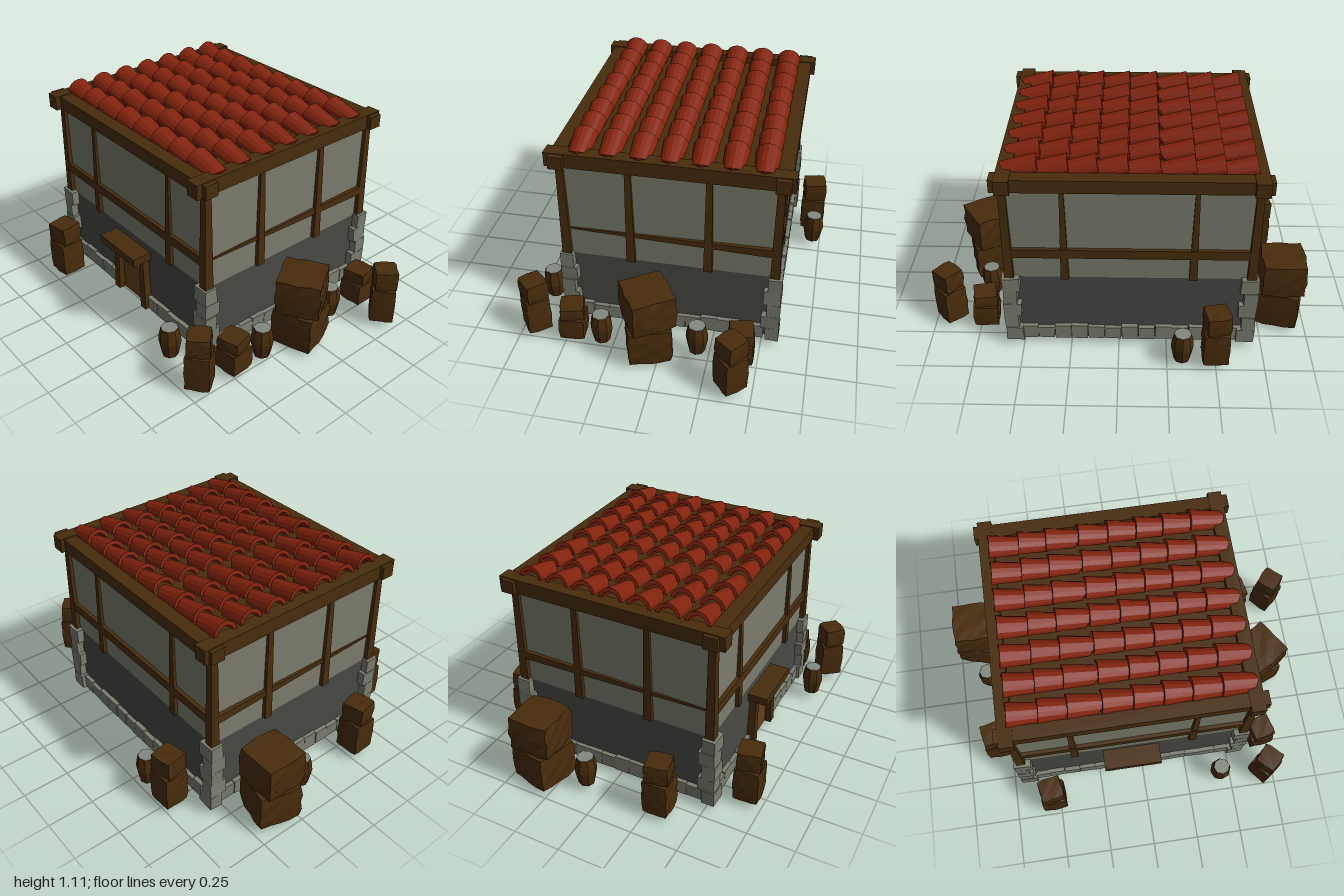
import * as THREE from 'three';

const mat = (name, color) => {
  const m = new THREE.MeshStandardMaterial({ color, flatShading: true });
  m.name = name;
  return m;
};

export function createModel() {
  const root = new THREE.Group();
  root.name = 'tavern';
  const M = {
    plaster: mat('plaster', 0x7b7d6d),
    stone: mat('stone', 0x7c7e70),
    wall: mat('dark stone wall', 0x494a45),
    wood: mat('beam wood', 0x482d0d),
    crate: mat('crate wood', 0x482c0c),
    door: mat('door wood', 0x65411b),
    tile: mat('roof tile', 0x82230d),
    lid: mat('barrel lid', 0x828a80),
  };

  let seed = 7;
  const rnd = (a, b) => {
    seed = (seed * 16807) % 2147483647;
    return a + (b - a) * (seed / 2147483647);
  };
  const group = (name) => {
    const g = new THREE.Group();
    g.name = name;
    root.add(g);
    return g;
  };
  const add = (parent, name, geo, material, x = 0, y = 0, z = 0) => {
    const m = new THREE.Mesh(geo, material);
    m.name = name;
    m.position.set(x, y, z);
    parent.add(m);
    return m;
  };
  // Box given by its limits on each axis
  const span = (parent, name, material, x0, x1, y0, y1, z0, z1) =>
    add(parent, name, new THREE.BoxGeometry(x1 - x0, y1 - y0, z1 - z0), material,
      (x0 + x1) / 2, (y0 + y1) / 2, (z0 + z1) / 2);
  // Square bar along y, thinner at the top
  const bar = (w, h, d, top) => {
    const g = new THREE.BoxGeometry(w, h, d);
    const p = g.attributes.position;
    for (let i = 0; i < p.count; i++)
      if (p.getY(i) > 0) p.setXYZ(i, p.getX(i) * top, p.getY(i), p.getZ(i) * top);
    g.computeVertexNormals();
    return g;
  };
  // Box with worn edges and corners shifted by a rule, so that shared corners stay joined
  const roughBox = (w, h, d, amount, seg = 1, round = 0) => {
    const g = new THREE.BoxGeometry(w, h, d, seg, seg, seg).toNonIndexed();
    const p = g.attributes.position;
    const k = rnd(1, 9);
    const n = (a, b, c, s) => Math.sin(a * 91 + b * 57 + c * 73 + k * s) * amount;
    for (let i = 0; i < p.count; i++) {
      const [x, y, z] = [p.getX(i), p.getY(i), p.getZ(i)];
      const [a, b, c] = [2 * x / w, 2 * y / h, 2 * z / d].map((v) => v * v);
      p.setXYZ(i,
        x * (1 - round * (b + c)) + n(x, y, z, 3),
        y * (1 - round * (a + c) * 0.5) + n(y, z, x, 5) * 0.5,
        z * (1 - round * (a + b)) + n(z, x, y, 7));
    }
    g.computeVertexNormals();
    return g;
  };

  // Walls
  const X0 = -0.665, X1 = 0.55, Z0 = -0.55, Z1 = 0.512;
  const walls = group('walls');
  span(walls, 'stoneWall', M.wall, X0, X1, 0.052, 0.445, Z0, Z1);
  span(walls, 'plasterWall', M.plaster, X0, X1, 0.445, 0.99, Z0, Z1);

  // Corner stones, alternating long sides, and the foundation row
  const stones = group('stones');
  for (const [x, sx] of [[X0, -1], [X1, 1]])
    for (const [z, sz] of [[Z0, -1], [Z1, 1]])
      for (let i = 0; i < 5; i++) {
        const w = i % 2 ? 0.07 : 0.09, d = i % 2 ? 0.09 : 0.07;
        add(stones, 'cornerStone', roughBox(w, 0.081, d, 0.003), M.stone,
          x - sx * (w / 2 - 0.038), 0.09 + i * 0.081, z - sz * (d / 2 - 0.038));
      }
  const stoneRow = (from, to, place) => {
    const n = Math.round((to - from) / 0.085), step = (to - from) / n;
    for (let i = 0; i < n; i++) place(from + step * (i + 0.5), step * 0.98, rnd(0.068, 0.086));
  };
  for (const z of [Z0, Z1])
    stoneRow(X0 + 0.04, X1 - 0.04, (x, w, h) => {
      if (z === Z1 && x > -0.2 && x < 0.07) return;
      add(stones, 'baseStone', roughBox(w, h, 0.045, 0.002), M.stone, x, 0.048 + h / 2, z);
    });
  for (const x of [X0, X1])
    stoneRow(Z0 + 0.04, Z1 - 0.04, (z, w, h) =>
      add(stones, 'baseStone', roughBox(0.045, h, w, 0.002), M.stone, x, 0.048 + h / 2, z));

  // Timber frame
  const frame = group('timberFrame');
  const post = (x, z, w, top) => add(frame, 'post', bar(w, 0.54, w, top), M.wood, x, 0.715, z);
  for (const x of [X0, X1]) {
    for (const z of [Z0, Z1]) post(x, z, 0.048, 0.75);
    for (const z of [0.178, -0.215]) post(x, z, 0.045, 0.65);
    const rail = add(frame, 'sideRail', bar(0.045, Z1 - Z0, 0.045, 0.2), M.wood, x, 0.605, (Z0 + Z1) / 2);
    rail.rotation.x = Math.PI / 2;
  }
  for (const z of [Z0, Z1]) {
    for (const x of [-0.372, 0.27]) post(x, z, 0.042, 0.5);
    span(frame, 'rail', M.wood, X0, X1, 0.578, 0.628, z - 0.02, z + 0.02);
  }
  for (const z of [-0.56, 0.518])
    span(frame, 'longBeam', M.wood, -0.722, 0.603, 0.98, 1.049, z - 0.036, z + 0.036);
  for (const x of [-0.665, 0.54])
    span(frame, 'crossBeam', M.wood, x - 0.036, x + 0.036, 0.977, 1.053, -0.617, 0.582);
  span(frame, 'roofDeck', M.wood, X0, X1, 0.99, 1.015, Z0, Z1);

  // Roof tiles: tapered hollow arches with a rounded lip, each tilted down under the next
  const roof = group('roof');
  const arc = (rx, ry, n) => Array.from({ length: n + 1 }, (_, i) => {
    const a = (Math.PI * i) / n;
    return new THREE.Vector2(rx * Math.cos(a), ry * Math.pow(Math.sin(a) + 1e-9, 1.15));
  });
  const arch = new THREE.Shape([...arc(0.063, 0.057, 8), ...arc(0.046, 0.036, 8).reverse()]);
  const tileLength = 0.178;
  const tileGeo = new THREE.ExtrudeGeometry(arch, { depth: tileLength, bevelEnabled: false });
  const tp = tileGeo.attributes.position;
  for (let i = 0; i < tp.count; i++) {
    const t = tp.getZ(i) / tileLength, s = 1 - 0.18 * t;
    tp.setXYZ(i, tp.getX(i) * s, tp.getY(i) * s, tp.getZ(i) - t * 7 * tp.getX(i) ** 2);
  }
  tileGeo.rotateY(Math.PI / 2);
  tileGeo.rotateZ(-0.2);
  tileGeo.computeVertexNormals();
  for (const x of [-0.655, -0.505, -0.366, -0.2, -0.05, 0.095, 0.233, 0.378])
    for (let r = 0; r < 7; r++)
      add(roof, 'tile', tileGeo, M.tile, x, 1.057, 0.425 - r * 0.1485);

  // Doorway
  const door = group('doorway');
  for (const [x, lean] of [[-0.18, -0.05], [0.055, 0.03]])
    add(door, 'doorPost', bar(0.046, 0.32, 0.06, 0.8), M.wood, x, 0.208, 0.525).rotation.z = lean;
  span(door, 'lintel', M.wood, -0.22, 0.09, 0.362, 0.405, 0.5, 0.618);
  const leaf = new THREE.Shape([[-0.17, 0.05], [0.04, 0.05], [0.04, 0.16], [-0.09, 0.365], [-0.17, 0.365]]
    .map(([x, y]) => new THREE.Vector2(x, y)));
  add(door, 'doorLeaf', new THREE.ExtrudeGeometry(leaf, { depth: 0.008, bevelEnabled: false }), M.door, 0, 0, Z1);

  // Crate stacks: x, z, width, lower height, upper height, turn, upper width ratio
  const spikeGeo = new THREE.ConeGeometry(0.006, 0.04, 4).rotateX(Math.PI);
  const stacks = [
    [-0.495, -0.69, 0.138, 0.195, 0.105, 0.03, 0.92], [-0.815, 0.31, 0.138, 0.195, 0.105, 0.04, 0.92],
    [-0.53, 0.665, 0.138, 0.195, 0.105, 0.06, 0.92], [0.69, 0.67, 0.13, 0.2, 0.105, 0.65, 0.92],
    [0.7, 0.465, 0.136, 0.122, 0.066, 0.1, 0.92], [0.715, -0.415, 0.136, 0.122, 0.066, 0.05, 0.92],
    [0.91, -0.39, 0.13, 0.2, 0.105, 0.72, 0.92], [-0.86, -0.34, 0.235, 0.205, 0.19, -0.25, 1],
    [0.745, 0.055, 0.23, 0.205, 0.195, 0.32, 1.03],
  ];
  for (const [x, z, w, h1, h2, turn, ratio] of stacks) {
    const big = w > 0.2;
    const g = group('crateStack');
    g.position.set(x, big ? 0.034 : 0.042, z);
    g.rotation.y = turn;
    const crate = (name, cw, h, y) =>
      add(g, name, roughBox(cw, h, cw, cw * 0.015, 4, 0.04), M.crate, 0, y + h / 2, 0);
    crate('lowerCrate', w, h1, 0);
    crate('upperCrate', w * ratio, h2, h1 + 0.002).rotation.y = big ? 0.25 : 0.15;
    if (!big) add(g, 'splinter', spikeGeo, M.crate, 0.015, -0.015, 0.01);
    else for (const s of [-1, 1])
      add(g, 'sideSplinter', spikeGeo, M.crate, s * w * 0.52, h1 * 1.3, w * 0.2 * s).rotation.z = s * 1.4;
  }

  // Barrels
  const staves = [[0, 0], [0.042, 0], [0.051, 0.045], [0.058, 0.085], [0.055, 0.12], [0.045, 0.165], [0.04, 0.165], [0.04, 0.155]]
    .map(([r, y]) => new THREE.Vector2(r, y));
  for (const [x, z] of [[-0.325, -0.705], [-0.83, -0.105], [0.435, 0.655], [0.73, 0.305], [0.715, -0.19]]) {
    const g = group('barrel');
    g.position.set(x, 0.046, z);
    add(g, 'barrelBody', new THREE.LatheGeometry(staves, 8), M.crate);
    add(g, 'barrelLid', new THREE.CylinderGeometry(0.043, 0.043, 0.008, 8), M.lid, 0, 0.163, 0);
  }
  return root;
}
